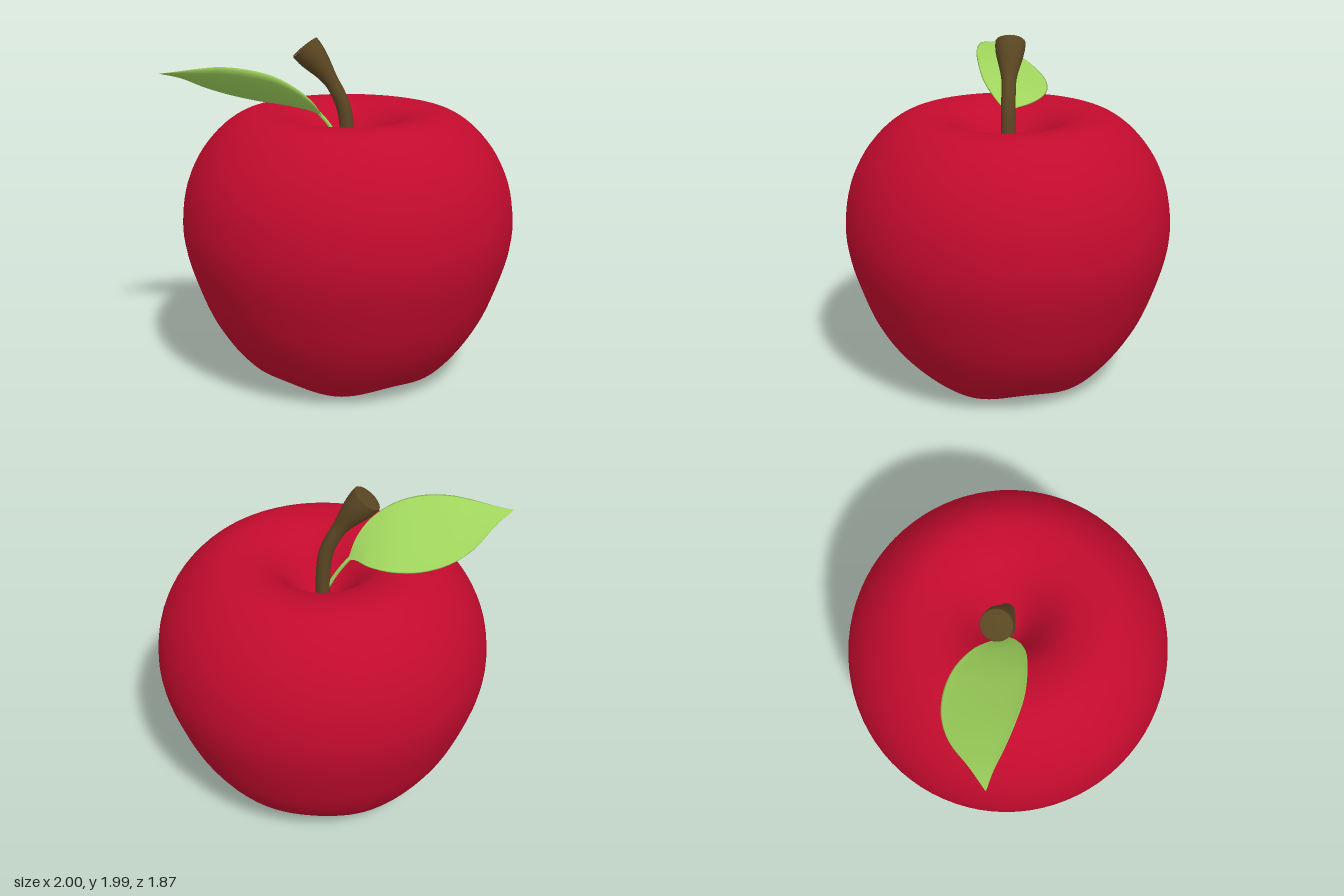
import * as THREE from 'three';
import { mergeVertices } from 'three/addons/utils/BufferGeometryUtils.js';

const V3 = (x, y, z) => new THREE.Vector3(x, y, z);

function material(name, color) {
  const m = new THREE.MeshStandardMaterial({ color });
  m.name = name;
  return m;
}

// Weld the seams and recompute smooth normals
function smooth(geo) {
  geo.deleteAttribute('uv');
  geo.deleteAttribute('normal');
  const welded = mergeVertices(geo, 1e-4);
  welded.computeVertexNormals();
  return welded;
}

// Tube whose radius follows radiusAt(t)
function taperedTube(points, steps, sides, radiusAt) {
  const curve = new THREE.CatmullRomCurve3(points);
  const geo = new THREE.TubeGeometry(curve, steps, 1, sides);
  const pos = geo.attributes.position;
  const v = V3(0, 0, 0);
  for (let i = 0; i < pos.count; i++) {
    const t = Math.floor(i / (sides + 1)) / steps;
    const c = curve.getPointAt(t);
    v.fromBufferAttribute(pos, i).sub(c).multiplyScalar(radiusAt(t)).add(c);
    pos.setXYZ(i, v.x, v.y, v.z);
  }
  return smooth(geo);
}

// Fruit: turned profile with hollows at both ends and five soft lobes underneath
function fruitGeometry() {
  const profile = [
    [0, 0.18], [0.08, 0.16], [0.17, 0.1], [0.27, 0.045], [0.37, 0.008], [0.46, 0.01],
    [0.55, 0.06], [0.64, 0.15], [0.73, 0.27], [0.815, 0.42], [0.885, 0.6], [0.938, 0.78],
    [0.955, 0.95], [0.927, 1.15], [0.855, 1.32], [0.755, 1.45], [0.65, 1.535],
    [0.55, 1.573], [0.44, 1.57], [0.33, 1.535], [0.24, 1.465], [0.16, 1.37],
    [0.08, 1.28], [0, 1.25],
  ].map(([r, y]) => new THREE.Vector2(r, y));
  const points = new THREE.SplineCurve(profile).getPoints(84);
  points.forEach((p) => { p.x = Math.max(p.x, 0); });
  points[0].x = points[points.length - 1].x = 0;
  const geo = new THREE.LatheGeometry(points, 80);
  const pos = geo.attributes.position;
  for (let i = 0; i < pos.count; i++) {
    const x = pos.getX(i), y = pos.getY(i), z = pos.getZ(i);
    const a = Math.atan2(z, x) - 0.35;
    // Lobes fade out towards the axis and upwards
    const low = Math.max(0, 1 - y / 0.5) ** 2 * Math.min(1, Math.hypot(x, z) / 0.35);
    pos.setXYZ(i, x, y + 0.017 * low * (1 - Math.cos(5 * a)), z * 0.978);
  }
  return smooth(geo);
}

// Leaf: closed lens, sections from tip to base, each [x, front z, front y, back z, back y]
function leafGeometry() {
  const sections = [
    [-1, 0.155, 1.8, 0.15, 1.798], [-0.9, 0.165, 1.815, 0.04, 1.765],
    [-0.78, 0.19, 1.835, -0.1, 1.695], [-0.65, 0.21, 1.85, -0.18, 1.645],
    [-0.5, 0.22, 1.84, -0.21, 1.61], [-0.35, 0.2, 1.8, -0.19, 1.59],
    [-0.22, 0.16, 1.72, -0.12, 1.575], [-0.14, 0.09, 1.63, -0.03, 1.56],
    [-0.1, 0.01, 1.54, 0, 1.54],
  ];
  const front = new THREE.CatmullRomCurve3(sections.map((s) => V3(s[0], s[2], s[1])));
  const back = new THREE.CatmullRomCurve3(sections.map((s) => V3(s[0], s[4], s[3])));
  const along = 32, around = 24;
  const geo = new THREE.PlaneGeometry(1, 1, around, along);
  const pos = geo.attributes.position;
  for (let i = 0; i <= along; i++) {
    const f = front.getPoint(i / along), b = back.getPoint(i / along);
    const width = f.distanceTo(b);
    for (let j = 0; j <= around; j++) {
      const a = ((j % around) / around) * Math.PI * 2;
      const p = b.clone().lerp(f, 0.5 + 0.5 * Math.cos(a));
      // Upper side slightly cupped, underside fuller
      const arc = Math.sin(a);
      const sag = width * (arc > 0 ? 0.02 * arc : -0.14 * arc);
      pos.setXYZ(i * (around + 1) + j, p.x, p.y - sag * 0.88, p.z + sag * 0.47);
    }
  }
  return smooth(geo);
}

export function createModel() {
  const group = new THREE.Group();
  group.name = 'apple';
  const red = material('red skin', 0xc20b2d);
  const brown = material('brown stem', 0x5a4622);
  const green = material('leaf green', 0x9fd45c);
  green.side = THREE.DoubleSide;

  const add = (name, geo, mat) => {
    const mesh = new THREE.Mesh(geo, mat);
    mesh.name = name;
    group.add(mesh);
    return mesh;
  };

  add('fruit', fruitGeometry(), red).position.x = 0.043;

  // Stem flares out towards its cut end
  const stemPath = [
    V3(0.04, 1.2, 0), V3(0.04, 1.4, 0), V3(0.025, 1.57, 0),
    V3(-0.015, 1.68, 0), V3(-0.09, 1.8, 0), V3(-0.2, 1.935, 0),
  ];
  const flare = (t) => 0.041 + 0.046 * THREE.MathUtils.smoothstep(t, 0.66, 0.98);
  add('stem', taperedTube(stemPath, 32, 20, flare), brown);
  const cap = add('stemEnd', new THREE.SphereGeometry(0.087, 20, 6, 0, Math.PI * 2, 0, Math.PI / 2), brown);
  cap.scale.y = 0.1;
  cap.position.set(-0.2, 1.935, 0);
  cap.rotation.z = Math.atan2(0.11, 0.14);

  // Leaf blade with its short stalk
  add('leaf', leafGeometry(), green);
  const stalkPath = [V3(-0.12, 1.56, 0.01), V3(-0.07, 1.5, 0), V3(-0.02, 1.42, 0), V3(0.03, 1.32, 0)];
  add('leafStalk', taperedTube(stalkPath, 12, 8, () => 0.011), green);

  return group;
}
